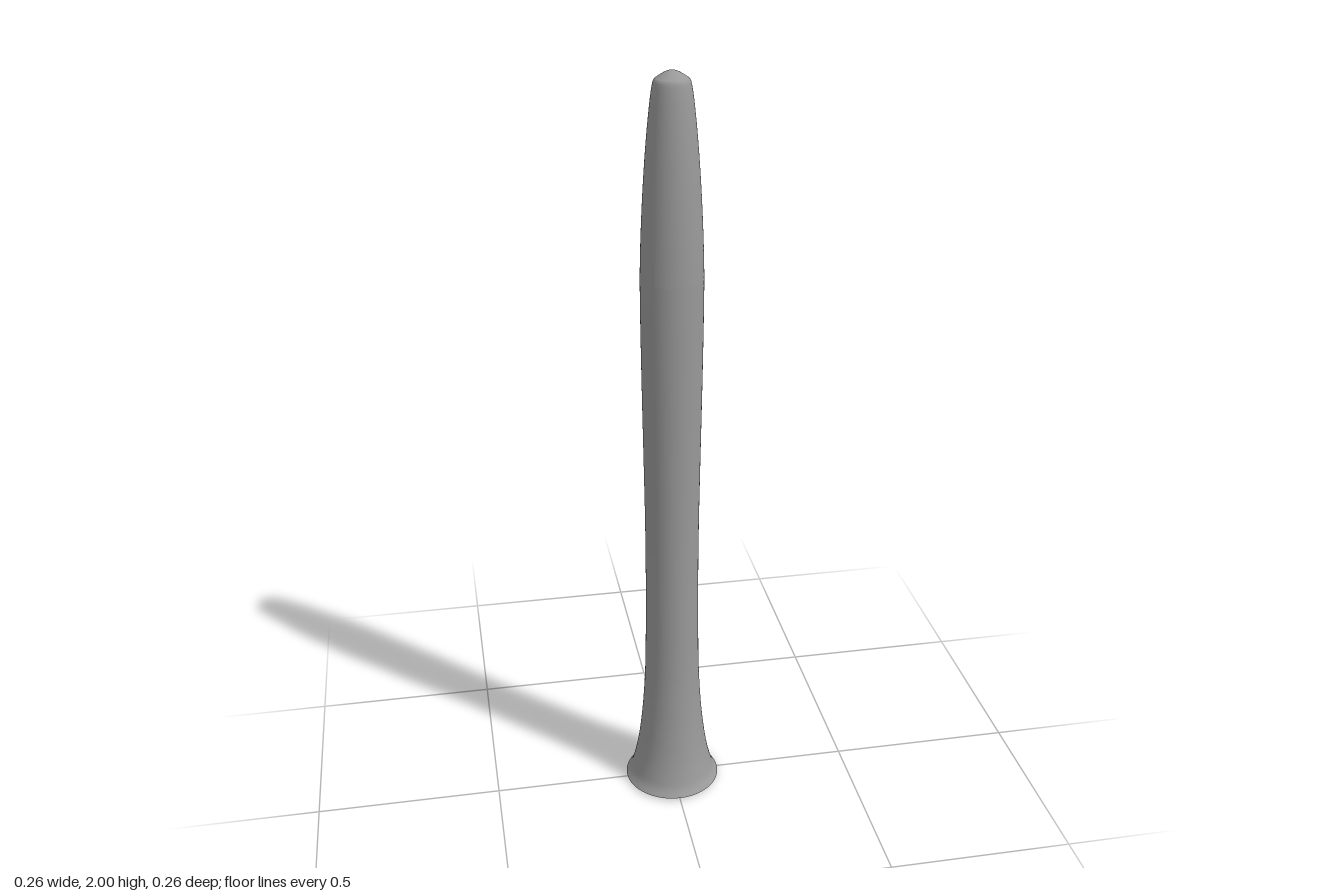
import * as THREE from 'three';

const SEGMENTS = 64;

// Smooth curve through [radius, height] points
function smoothProfile(points, divisions) {
  const curve = new THREE.SplineCurve(points.map(([r, y]) => new THREE.Vector2(r, y)));
  return curve.getPoints(divisions).map((p) => new THREE.Vector2(Math.max(p.x, 0), p.y));
}

export function createModel() {
  const model = new THREE.Group();
  model.name = 'taperedColumn';
  const material = new THREE.MeshStandardMaterial({ color: 0x999999, side: THREE.DoubleSide });

  function addTurned(name, profile) {
    const mesh = new THREE.Mesh(new THREE.LatheGeometry(profile, SEGMENTS), material);
    mesh.name = name;
    model.add(mesh);
  }

  // Flared foot rising into the slender shaft
  addTurned('shaft', smoothProfile([
    [0.131, 0.006], [0.118, 0.026], [0.109, 0.055], [0.099, 0.1], [0.09, 0.16],
    [0.081, 0.25], [0.074, 0.38], [0.071, 0.6], [0.071, 0.8], [0.0735, 1.0],
    [0.0765, 1.2], [0.0785, 1.38], [0.079, 1.5],
  ], 72));

  // Narrowing upper part
  addTurned('taper', smoothProfile([
    [0.079, 1.5], [0.076, 1.6], [0.07, 1.72], [0.062, 1.83],
    [0.053, 1.92], [0.046, 1.968], [0.041, 1.98],
  ], 30));

  // Shallow, slightly peaked tip
  addTurned('tip', smoothProfile([
    [0.041, 1.98], [0.028, 1.989], [0.013, 1.997], [0, 2],
  ], 12));

  // Bevelled rim under the foot
  addTurned('footRim', [new THREE.Vector2(0.106, 0), new THREE.Vector2(0.131, 0.006)]);

  // Flat underside
  const underside = new THREE.Mesh(new THREE.CircleGeometry(0.106, SEGMENTS), material);
  underside.rotation.x = Math.PI / 2;
  underside.name = 'underside';
  model.add(underside);

  return model;
}
